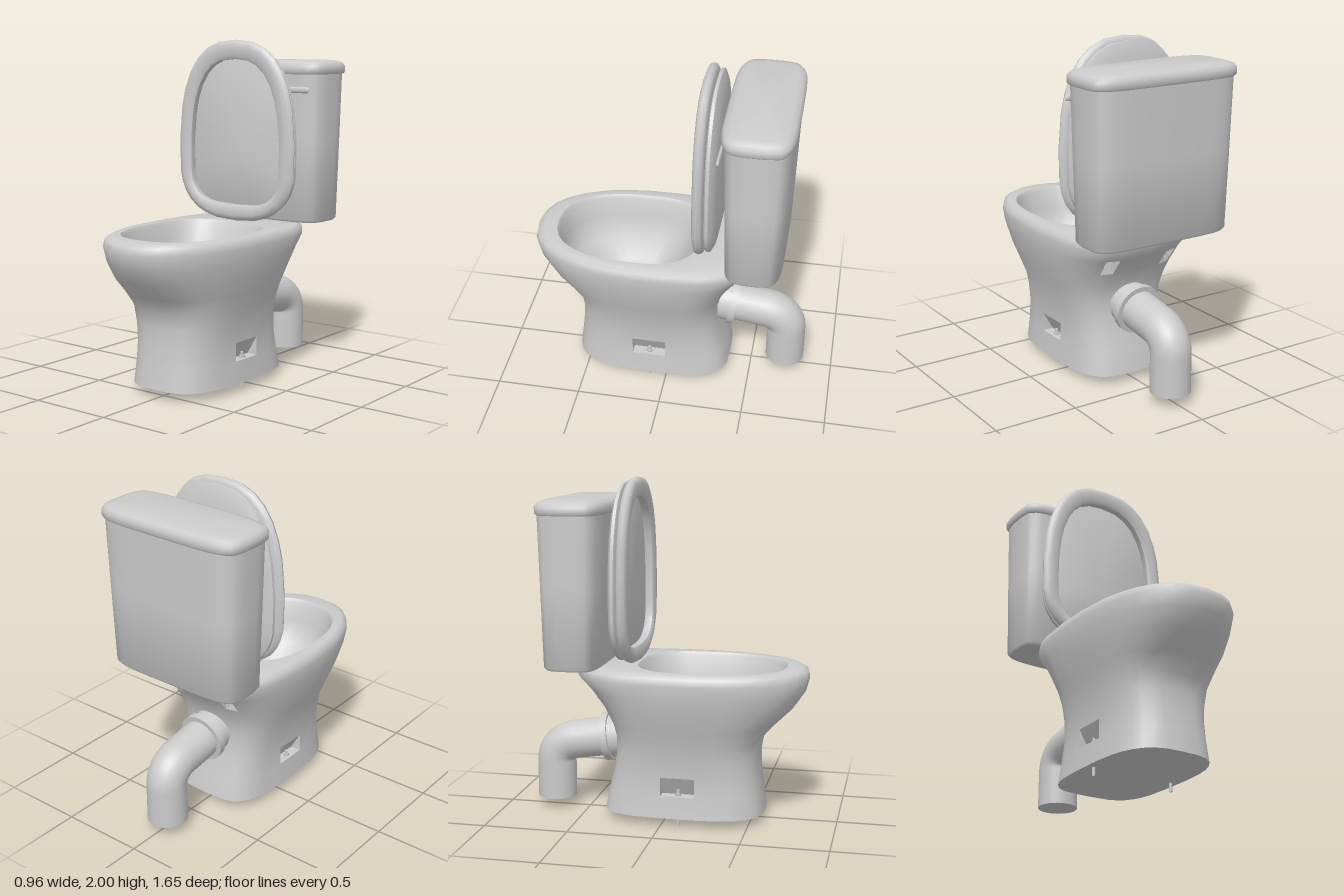
import * as THREE from 'three';
import { toCreasedNormals } from 'three/addons/utils/BufferGeometryUtils.js';

const grey = new THREE.MeshStandardMaterial({ color: 0xcccccc });
const greyThin = new THREE.MeshStandardMaterial({ color: 0xcccccc, side: THREE.DoubleSide });

// Columns of one half outline: angles from front to back; +-5 marks the flat of the side
const HALF = [90, 78, 66, 54, 42, 30, 20, 5, -5, -20, -30, -42, -54, -64, -76, -90];
const COLS = 2 * (HALF.length - 1);

// Squarish oval: w = half width, front/back = z ends, c = widest z, nf/nb = squareness
function outline([y, w, front, back, c, nf, nb]) {
  const half = HALF.map((deg) => {
    const n = deg > 0 ? nf : nb, a = deg > 0 ? front - c : c - back;
    if (Math.abs(deg) === 5) {
      const off = Math.min(0.1, 0.3 * a);
      return [w * Math.pow(1 - Math.pow(off / a, n), 1 / n), y, c + Math.sign(deg) * off];
    }
    const t = THREE.MathUtils.degToRad(Math.abs(deg));
    const x = Math.abs(deg) === 90 ? 0 : w * Math.pow(Math.cos(t), 2 / n);
    return [x, y, c + Math.sign(deg) * a * Math.pow(Math.sin(t), 2 / n)];
  });
  return [...half, ...half.slice(1, -1).reverse().map(([x, yy, z]) => [-x, yy, z])];
}

// Skin between outlines; skip(row, column) leaves openings
function loft(rows, { bottom = false, top = false, closed = false, skip = () => false } = {}) {
  const pos = rows.flatMap((r) => outline(r).flat());
  const idx = [], R = rows.length;
  for (let i = 0; i < (closed ? R : R - 1); i++) {
    for (let j = 0; j < COLS; j++) {
      if (skip(i, j)) continue;
      const k = (j + 1) % COLS, n = (i + 1) % R;
      const a = i * COLS + j, b = i * COLS + k, c = n * COLS + k, d = n * COLS + j;
      idx.push(a, b, c, a, c, d);
    }
  }
  const cap = (row, up) => {
    const centre = pos.length / 3;
    pos.push(0, rows[row][0], rows[row][4]);
    for (let j = 0; j < COLS; j++) {
      const a = row * COLS + j, b = row * COLS + (j + 1) % COLS;
      idx.push(centre, up ? a : b, up ? b : a);
    }
  };
  if (bottom) cap(0, false);
  if (top) cap(R - 1, true);
  const g = new THREE.BufferGeometry();
  g.setAttribute('position', new THREE.Float32BufferAttribute(pos, 3));
  g.setIndex(idx);
  return toCreasedNormals(g, 0.85);
}

// Wedge pocket: edge a-b is pushed inward, edge c-d stays on the surface
function notch(a, b, c, d, inset) {
  const a2 = a.map((v, i) => v + inset[i]), b2 = b.map((v, i) => v + inset[i]);
  const tris = [a, b, b2, a, b2, a2, a2, b2, d, a2, d, c, a, a2, c, b, d, b2];
  const g = new THREE.BufferGeometry();
  g.setAttribute('position', new THREE.Float32BufferAttribute(tris.flat(), 3));
  g.computeVertexNormals();
  return g;
}

export function createModel() {
  const model = new THREE.Group();
  const add = (name, geo, x = 0, y = 0, z = 0, mat = grey) => {
    const m = new THREE.Mesh(geo, mat);
    m.name = name;
    m.position.set(x, y, z);
    model.add(m);
    return m;
  };

  // Bowl: pedestal, flared rim, then down into the basin
  const bowlRows = [
    [0.05, 0.300, 0.577, -0.37, 0.1, 3.0, 3.6],
    [0.18, 0.288, 0.560, -0.345, 0.1, 3.0, 3.6],
    [0.29, 0.287, 0.547, -0.315, 0.1, 3.0, 3.6],
    [0.40, 0.300, 0.543, -0.30, 0.1, 3.0, 3.5],
    [0.50, 0.325, 0.560, -0.30, 0.1, 2.8, 3.4],
    [0.58, 0.352, 0.630, -0.32, 0.1, 2.6, 3.3],
    [0.68, 0.385, 0.735, -0.37, 0.1, 2.4, 3.2],
    [0.78, 0.410, 0.802, -0.45, 0.1, 2.3, 3.0],
    [0.86, 0.420, 0.825, -0.53, 0.1, 2.3, 3.0],
    [0.90, 0.415, 0.815, -0.53, 0.1, 2.3, 3.0],
    [0.92, 0.390, 0.780, -0.51, 0.1, 2.3, 3.0],
    [0.92, 0.335, 0.695, -0.175, 0.2, 2.4, 2.8],
    [0.90, 0.322, 0.680, -0.16, 0.2, 2.4, 2.8],
    [0.78, 0.310, 0.665, -0.12, 0.2, 2.4, 2.8],
    [0.64, 0.265, 0.610, -0.03, 0.2, 2.4, 2.8],
    [0.53, 0.190, 0.460, 0.05, 0.2, 2.6, 2.8],
    [0.44, 0.130, 0.330, 0.095, 0.2, 3.0, 3.0],
    [0.28, 0.115, 0.290, 0.105, 0.2, 3.0, 3.0],
  ];
  const isSide = (j) => j === 7 || j === COLS - 8;
  const isBack = (j) => j === 13 || j === COLS - 14;
  add('bowl', loft(bowlRows, {
    bottom: true, top: true,
    skip: (i, j) => (i === 1 && isSide(j)) || (i === 6 && isBack(j)),
  }));

  // Pockets and bolts, mirrored left and right
  const [low, high, under, over] = [1, 2, 6, 7].map((i) => outline(bowlRows[i]));
  for (const s of [1, -1]) {
    const [p, q] = s > 0 ? [7, 8] : [COLS - 7, COLS - 8];
    add('floorBoltPocket', notch(low[p], low[q], high[p], high[q], [-0.065 * s, 0, 0]), 0, 0, 0, greyThin);
    add('floorBolt', new THREE.CylinderGeometry(0.009, 0.009, 0.215, 10), 0.255 * s, 0.1075, 0.1);
    add('floorNut', new THREE.CylinderGeometry(0.017, 0.017, 0.014, 6), 0.255 * s, 0.187, 0.1);
    const [u, v] = s > 0 ? [13, 14] : [COLS - 13, COLS - 14];
    add('cisternBoltPocket', notch(over[u], over[v], under[u], under[v], [0, 0, 0.075]), 0, 0, 0, greyThin);
    add('cisternBolt', new THREE.CylinderGeometry(0.01, 0.01, 0.08, 10), 0.19 * s, 0.76, -0.385);
    add('cisternNut', new THREE.CylinderGeometry(0.022, 0.022, 0.018, 6), 0.19 * s, 0.768, -0.385);
  }

  // Cistern and its lid
  add('cistern', loft([
    [0.920, 0.43, -0.355, -0.665, -0.51, 5, 5],
    [0.935, 0.44, -0.344, -0.677, -0.51, 5, 5],
    [1.400, 0.452, -0.333, -0.69, -0.51, 5, 5],
    [1.810, 0.462, -0.323, -0.70, -0.51, 5, 5],
  ], { bottom: true, top: true }));
  add('cisternLid', loft([
    [1.800, 0.470, -0.315, -0.703, -0.51, 5, 5],
    [1.812, 0.478, -0.307, -0.711, -0.51, 5, 5],
    [1.845, 0.478, -0.307, -0.711, -0.51, 5, 5],
    [1.868, 0.462, -0.322, -0.697, -0.51, 5, 5],
    [1.880, 0.420, -0.355, -0.665, -0.51, 5, 5],
  ], { bottom: true, top: true }));

  // Flush lever
  const lever = add('flushLever', new THREE.CapsuleGeometry(0.018, 0.165, 6, 12), 0.33, 1.71, -0.309);
  lever.rotation.z = Math.PI / 2;
  lever.scale.z = 0.55;
  const pivot = add('leverPivot', new THREE.CylinderGeometry(0.014, 0.014, 0.04, 12), 0.26, 1.71, -0.325);
  pivot.rotation.x = Math.PI / 2;

  // Raised seat ring and cover: lofted lying down, then stood upright
  add('seat', loft([
    [0.165, 0.385, 1.965, 0.955, 1.3, 2.6, 2.6],
    [0.175, 0.412, 1.992, 0.930, 1.3, 2.6, 2.6],
    [0.195, 0.422, 2.000, 0.922, 1.3, 2.6, 2.6],
    [0.215, 0.412, 1.992, 0.930, 1.3, 2.6, 2.6],
    [0.225, 0.390, 1.970, 0.950, 1.3, 2.6, 2.6],
    [0.225, 0.335, 1.895, 1.010, 1.3, 2.6, 3.4],
    [0.215, 0.328, 1.888, 1.018, 1.3, 2.6, 3.4],
    [0.178, 0.328, 1.888, 1.018, 1.3, 2.6, 3.4],
    [0.168, 0.345, 1.905, 1.000, 1.3, 2.6, 3.2],
  ], { closed: true }).rotateX(-Math.PI / 2), -0.015);
  add('seatCover', loft([
    [0.232, 0.385, 1.955, 0.950, 1.3, 2.6, 2.6],
    [0.240, 0.398, 1.975, 0.937, 1.3, 2.6, 2.6],
    [0.258, 0.398, 1.975, 0.937, 1.3, 2.6, 2.6],
    [0.276, 0.370, 1.930, 0.970, 1.3, 2.6, 2.6],
    [0.290, 0.290, 1.800, 1.050, 1.3, 2.6, 2.6],
    [0.297, 0.150, 1.560, 1.180, 1.3, 2.4, 2.4],
  ], { bottom: true, top: true }).rotateX(-Math.PI / 2), -0.015);

  // Waste pipe: sloping run, elbow, vertical drop
  const P = (y, z) => new THREE.Vector3(0, y, z);
  const path = new THREE.CurvePath();
  path.add(new THREE.LineCurve3(P(0.466, -0.25), P(0.415, -0.58)));
  path.add(new THREE.CubicBezierCurve3(P(0.415, -0.58), P(0.404, -0.65), P(0.36, -0.707), P(0.285, -0.707)));
  path.add(new THREE.LineCurve3(P(0.285, -0.707), P(0.06, -0.707)));
  add('wastePipe', new THREE.TubeGeometry(path, 48, 0.117, 24), 0, 0, 0, greyThin);
  add('wastePipeEnd', new THREE.CircleGeometry(0.117, 24), 0, 0.06, -0.707, greyThin).rotation.x = Math.PI / 2;
  const slope = -Math.PI / 2 - 0.15;
  add('pipeSocket', new THREE.CylinderGeometry(0.13, 0.13, 0.14, 28), 0, 0.455, -0.315).rotation.x = slope;
  add('pipeCollar', new THREE.CylinderGeometry(0.146, 0.146, 0.042, 28), 0, 0.446, -0.378).rotation.x = slope;
  return model;
}
